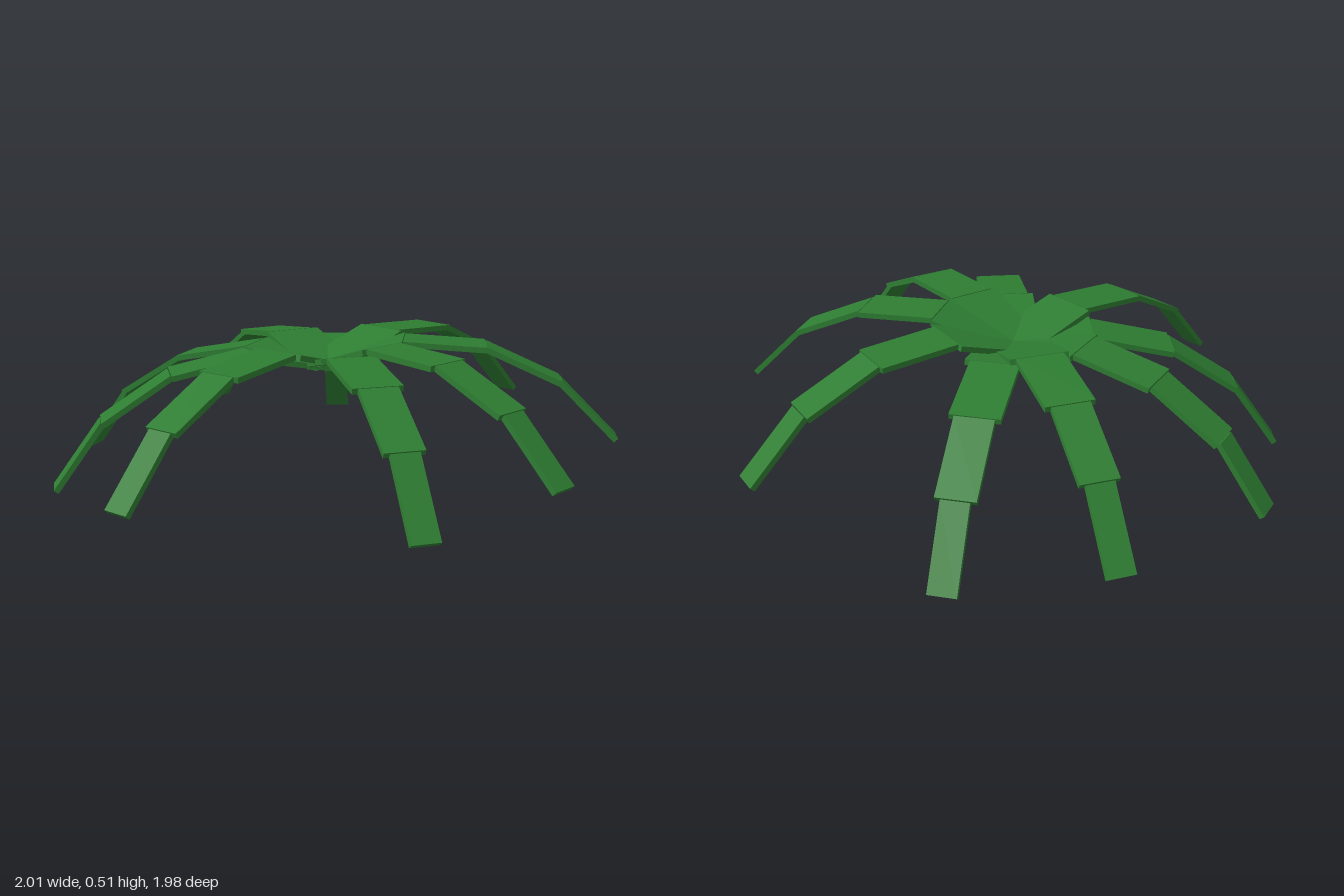
import * as THREE from 'three';

// Arching palm crown: nine fronds, each a chain of four narrowing flat slats
const SEGMENT_LENGTH = 0.289;
const THICKNESS = 0.02;
const WIDTHS = [0.21, 0.172, 0.135, 0.096];
const BEND = THREE.MathUtils.degToRad(21);
const CENTRE = [-0.03, 0.42, 0];

// Each frond: ground direction (x, z) and starting pitch in degrees
const FRONDS = [
  [1.025, 0.1, 18],
  [0.73, 0.72, 18],
  [0.3, 0.957, 13],
  [-0.62, 0.81, 15],
  [-0.95, 0.23, 9],
  [-0.94, -0.32, 10],
  [-0.5, -0.87, 14],
  [0.02, -0.98, 10],
  [0.735, -0.705, 18],
];

function makeFrond(startPitch, material) {
  const frond = new THREE.Group();
  let x = 0, y = 0;
  WIDTHS.forEach((width, i) => {
    const pitch = startPitch - i * BEND;
    const dx = Math.cos(pitch) * SEGMENT_LENGTH;
    const dy = Math.sin(pitch) * SEGMENT_LENGTH;
    const slat = new THREE.Mesh(new THREE.BoxGeometry(SEGMENT_LENGTH, THICKNESS, width), material);
    slat.name = `frondSegment${i + 1}`;
    slat.position.set(x + dx / 2, y + dy / 2, 0);
    slat.rotation.z = pitch;
    frond.add(slat);
    x += dx;
    y += dy;
  });
  return frond;
}

export function createModel() {
  const leafGreen = new THREE.MeshStandardMaterial({ color: 0x2e7d32 });
  leafGreen.name = 'leafGreen';

  const crown = new THREE.Group();
  crown.name = 'palmCrown';
  FRONDS.forEach(([dx, dz, pitch], i) => {
    const frond = makeFrond(THREE.MathUtils.degToRad(pitch), leafGreen);
    frond.name = `frond${i + 1}`;
    frond.position.set(...CENTRE);
    frond.rotation.y = Math.atan2(-dz, dx);
    crown.add(frond);
  });
  return crown;
}
